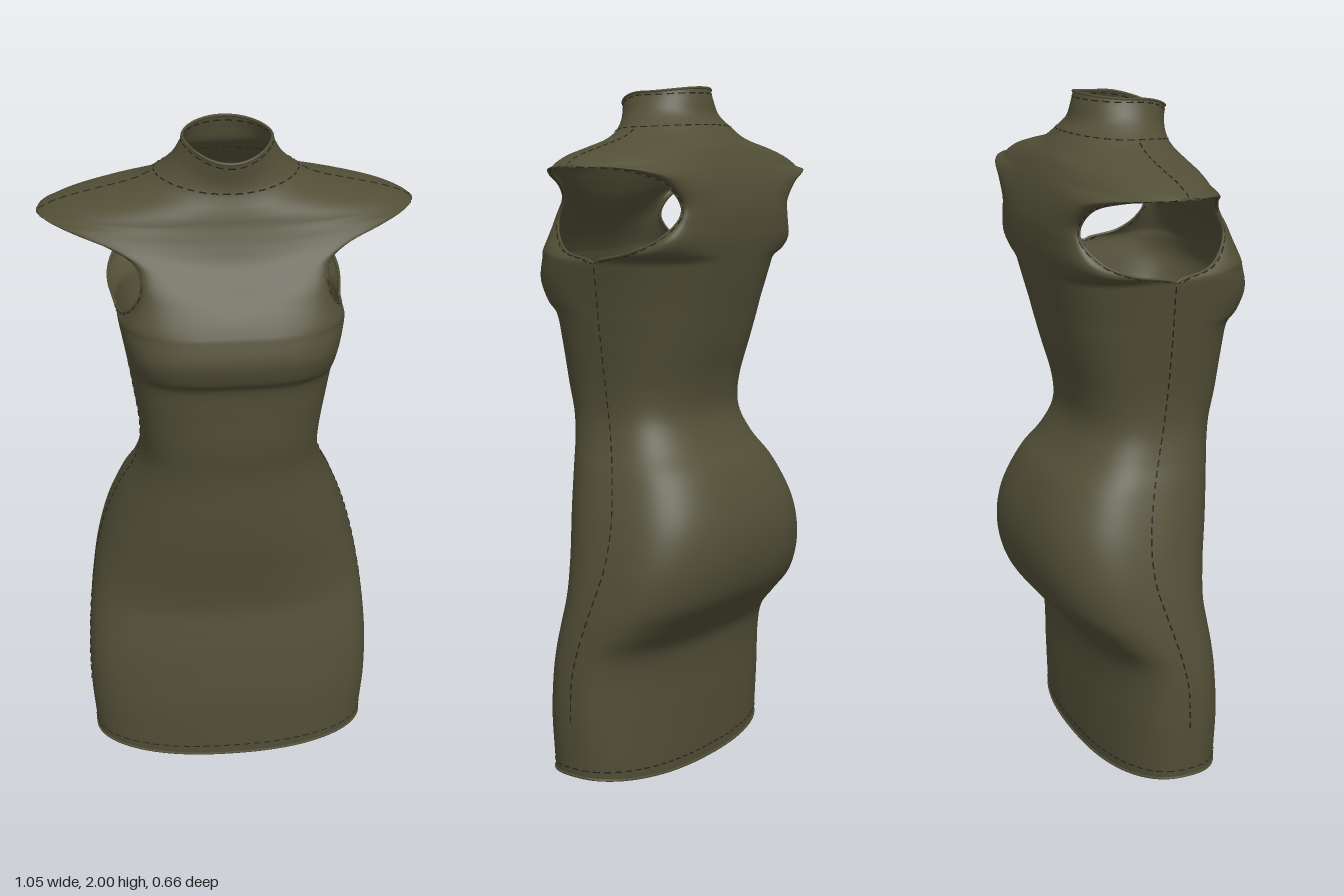
import * as THREE from 'three';
import { mergeGeometries, mergeVertices } from 'three/addons/utils/BufferGeometryUtils.js';

// Skirt and torso rings: y, half width, side seam z, front z, back z, front squareness, back squareness
const BODY = [
  [0.005, 0.428, 0.03, 0.21, -0.15, 2.5, 2.5],
  [0.07, 0.432, 0.03, 0.213, -0.153, 2.5, 2.5],
  [0.2, 0.44, 0.03, 0.215, -0.155, 2.5, 2.5],
  [0.32, 0.44, 0.025, 0.207, -0.157, 2.5, 2.5],
  [0.4, 0.436, 0.01, 0.2, -0.172, 2.5, 2.6],
  [0.47, 0.43, -0.01, 0.19, -0.228, 2.5, 2.8],
  [0.55, 0.42, -0.035, 0.182, -0.298, 2.5, 2.8],
  [0.66, 0.4, -0.065, 0.196, -0.33, 2.5, 2.8],
  [0.78, 0.367, -0.065, 0.216, -0.322, 2.5, 2.8],
  [0.9, 0.322, -0.035, 0.23, -0.272, 2.5, 2.7],
  [0.98, 0.285, -0.005, 0.236, -0.208, 2.6, 2.6],
  [1.06, 0.262, 0.02, 0.245, -0.168, 2.7, 2.6],
  [1.15, 0.262, 0.032, 0.262, -0.172, 2.8, 2.6],
  [1.27, 0.278, 0.035, 0.274, -0.205, 2.9, 2.7],
  [1.35, 0.29, 0.035, 0.285, -0.225, 3, 2.8],
  [1.39, 0.296, 0.034, 0.312, -0.235, 3.3, 2.8],
  [1.45, 0.306, 0.032, 0.33, -0.25, 3.5, 2.9],
  [1.51, 0.317, 0.03, 0.318, -0.264, 3.4, 3],
];
// Panels beside the armhole: centre y, centre z, edge x, edge y, edge z, squareness
const ARM_FRONT = [
  [1.535, 0.308, 0.302, 1.535, 0.13, 3.2],
  [1.57, 0.288, 0.275, 1.575, 0.185, 3],
  [1.61, 0.26, 0.252, 1.63, 0.207, 2.6],
  [1.65, 0.226, 0.262, 1.69, 0.175, 2.4],
  [1.69, 0.198, 0.33, 1.73, 0.135, 2.2],
  [1.73, 0.179, 0.43, 1.757, 0.08, 2],
  [1.76, 0.167, 0.495, 1.772, 0.02, 2],
];
const ARM_BACK = [
  [1.54, -0.27, 0.334, 1.54, -0.1, 3],
  [1.58, -0.277, 0.318, 1.575, -0.185, 2.9],
  [1.63, -0.28, 0.275, 1.63, -0.232, 2.7],
  [1.67, -0.279, 0.27, 1.68, -0.236, 2.6],
  [1.71, -0.273, 0.335, 1.735, -0.222, 2.5],
  [1.74, -0.266, 0.43, 1.765, -0.18, 2.5],
  [1.765, -0.258, 0.495, 1.775, -0.115, 2.5],
];
// Shoulders and collar: seam x, y, z, front centre y, z, back centre y, z
const YOKE = [
  [0.52, 1.78, -0.04, 1.785, 0.158, 1.785, -0.25],
  [0.46, 1.808, -0.04, 1.805, 0.152, 1.805, -0.24],
  [0.36, 1.833, -0.04, 1.825, 0.145, 1.83, -0.225],
  [0.26, 1.858, -0.035, 1.845, 0.137, 1.86, -0.2],
  [0.2, 1.887, -0.03, 1.866, 0.13, 1.895, -0.17],
  [0.155, 1.928, -0.01, 1.89, 0.127, 1.925, -0.145],
  [0.132, 1.965, 0, 1.92, 0.13, 1.965, -0.135],
  [0.122, 1.987, 0, 1.95, 0.134, 2.0, -0.127],
];

const FRONT = [], BACK = [];
BODY.forEach(([y, w, sz, fz, bz, nf, nb], i) => {
  const sy = i === 0 ? 0.035 : i === 1 ? 0.085 : y;
  FRONT.push([y, fz, w, sy, sz, nf]);
  BACK.push([y, bz, w, sy, sz, nb]);
});
FRONT.push(...ARM_FRONT);
BACK.push(...ARM_BACK);
for (const [x, y, z, fy, fz, by, bz] of YOKE) {
  FRONT.push([fy, fz, x, y, z, 2]);
  BACK.push([by, bz, x, y, z, x > 0.3 ? 2.4 : 2]);
}
const ARM_START = BODY.length - 1, TIP = BODY.length + ARM_FRONT.length;
const COLLAR = TIP + 4, TOP = FRONT.length - 1;

// Catmull-Rom interpolation of one panel row
function rowAt(rows, v) {
  const i = Math.min(Math.floor(v), TOP - 1), t = v - i;
  const r = k => rows[Math.max(0, Math.min(TOP, k))];
  return rows[i].map((b, c) => {
    const a = r(i - 1)[c], d = r(i + 1)[c], e = r(i + 2)[c];
    return b + 0.5 * t * (d - a + t * (2 * a - 5 * b + 4 * d - e + t * (3 * (b - d) + e - a)));
  });
}

// Point on the garment: v climbs the rows, u runs from right (-1) to left (1)
function surface(front, v, u) {
  const row = rowAt(front ? FRONT : BACK, v);
  if (v <= ARM_START || v >= TIP) {
    const other = rowAt(front ? BACK : FRONT, v);
    for (const c of [2, 3, 4]) row[c] = (row[c] + other[c]) / 2;
  }
  const [cy, cz, sx, sy, sz, n] = row;
  const s = Math.sin(Math.abs(u) * Math.PI / 2), c = Math.abs(u) === 1 ? 0 : Math.cos(u * Math.PI / 2);
  const r = (s ** n + c ** n) ** (-1 / n);
  const x = s * r, z = c * r;
  return new THREE.Vector3(Math.sign(u) * x * sx, cy + (sy - cy) * x * x, sz + (cz - sz) * z);
}

function garment() {
  const NU = 72, NV = TOP * 6, pos = [], idx = [];
  for (const front of [true, false]) {
    const base = pos.length / 3;
    for (let j = 0; j <= NV; j++)
      for (let i = 0; i <= NU; i++) pos.push(...surface(front, j / 6, i / NU * 2 - 1).toArray());
    for (let j = 0; j < NV; j++)
      for (let i = 0; i < NU; i++) {
        const a = base + j * (NU + 1) + i, b = a + 1, c = a + NU + 1, d = c + 1;
        if (front) idx.push(a, b, d, a, d, c);
        else idx.push(a, d, b, a, c, d);
      }
  }
  let g = new THREE.BufferGeometry();
  g.setAttribute('position', new THREE.Float32BufferAttribute(pos, 3));
  g.setIndex(idx);
  g = mergeVertices(g, 1e-5);
  g.computeVertexNormals();
  return g;
}

// Paths lying on the garment
function ring(v) {
  const pts = [];
  for (let i = 0; i < 48; i++) pts.push(surface(true, v, i / 24 - 1));
  for (let i = 0; i < 48; i++) pts.push(surface(false, v, 1 - i / 24));
  return new THREE.CatmullRomCurve3(pts.filter((p, i) => i === 0 || p.distanceTo(pts[i - 1]) > 1e-4), true);
}
function seam(v0, v1, side) {
  const pts = [];
  for (let i = 0; i <= 40; i++) pts.push(surface(true, v0 + (v1 - v0) * i / 40, side));
  return new THREE.CatmullRomCurve3(pts);
}
function armhole(side) {
  const pts = [], N = 40, span = TIP - ARM_START;
  for (let i = 0; i < N; i++) pts.push(surface(true, ARM_START + span * i / N, side));
  for (let i = 0; i < N; i++) pts.push(surface(false, TIP - span * i / N, side));
  return new THREE.CatmullRomCurve3(pts, true);
}

// Row of short stitches along a path
function stitches(curve, dash = 0.02, gap = 0.012) {
  const count = Math.floor(curve.getLength() / (dash + gap)), parts = [];
  for (let i = 0; i < count; i++) {
    const a = curve.getPointAt(i / count), b = curve.getPointAt((i + dash / (dash + gap)) / count);
    parts.push(new THREE.TubeGeometry(new THREE.LineCurve3(a, b), 1, 0.0022, 4));
  }
  return mergeGeometries(parts);
}

export function createModel() {
  const group = new THREE.Group();
  const fabric = new THREE.MeshStandardMaterial({ color: 0x524f37, side: THREE.DoubleSide });
  fabric.name = 'olive fabric';
  const thread = new THREE.MeshStandardMaterial({ color: 0x26251a });
  thread.name = 'dark thread';
  const add = (name, geo, mat) => {
    const m = new THREE.Mesh(geo, mat);
    m.name = name;
    group.add(m);
  };
  const piping = curve => new THREE.TubeGeometry(curve, 160, 0.004, 6, true);

  add('dressBody', garment(), fabric);

  // Rolled edges
  add('hemEdge', piping(ring(0)), fabric);
  add('collarEdge', piping(ring(TOP)), fabric);

  // Stitching around the hem and collar
  add('hemStitching', stitches(ring(0.6)), thread);
  add('collarBaseStitching', stitches(ring(COLLAR)), thread);
  add('collarTopStitching', stitches(ring(TOP - 0.5)), thread);

  // Armhole edges, side seams and shoulder seams on both sides
  for (const [side, label] of [[1, 'left'], [-1, 'right']]) {
    add(label + 'ArmholeEdge', piping(armhole(side)), fabric);
    add(label + 'ArmholeStitching', stitches(armhole(side * 0.95)), thread);
    add(label + 'SideSeam', stitches(seam(2, ARM_START, side)), thread);
    add(label + 'ShoulderSeam', stitches(seam(TIP, COLLAR, side)), thread);
  }
  return group;
}
